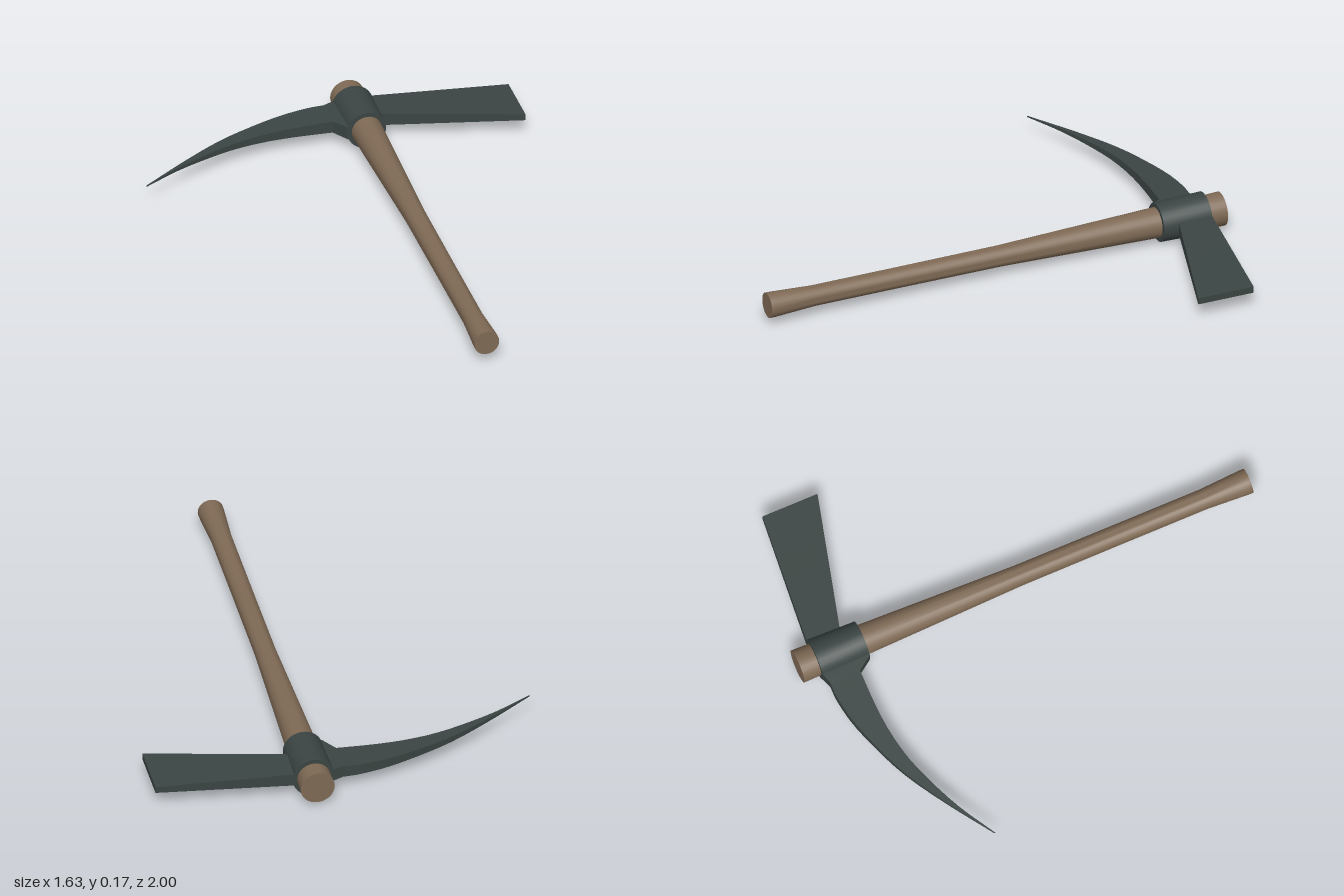
import * as THREE from 'three';
import { toCreasedNormals } from 'three/addons/utils/BufferGeometryUtils.js';

const AXIS_X = 0.166, AXIS_Y = 0.091;
const wood = new THREE.MeshStandardMaterial({ color: 0x7f6a55 });
const iron = new THREE.MeshStandardMaterial({ color: 0x3b4543 });

// Turned part along z; the profile is a list of [radius, z]
function turned(name, profile, material) {
  const points = profile.map(([r, z]) => new THREE.Vector2(r, z));
  const geometry = new THREE.LatheGeometry(points, 28).rotateX(Math.PI / 2);
  const mesh = new THREE.Mesh(toCreasedNormals(geometry, 0.6), material);
  mesh.name = name;
  mesh.position.set(AXIS_X, AXIS_Y, 0);
  return mesh;
}

// Bar of rectangular cross-sections [x, back z, front z, half thickness], x ascending
function bar(name, sections) {
  const positions = [], index = [];
  for (const [x, back, front, h] of sections) {
    positions.push(x, h, back, x, h, front, x, -h, front, x, -h, back);
  }
  for (let s = 0; s < sections.length - 1; s++) {
    for (let i = 0; i < 4; i++) {
      const a = s * 4 + i, b = s * 4 + (i + 1) % 4;
      index.push(a, b, b + 4, a, b + 4, a + 4);
    }
  }
  const e = (sections.length - 1) * 4;
  index.push(0, 2, 1, 0, 3, 2, e, e + 1, e + 2, e, e + 2, e + 3);
  const geometry = new THREE.BufferGeometry();
  geometry.setAttribute('position', new THREE.Float32BufferAttribute(positions, 3));
  geometry.setIndex(index);
  const mesh = new THREE.Mesh(toCreasedNormals(geometry, 0.4), iron);
  mesh.name = name;
  mesh.position.y = AXIS_Y;
  return mesh;
}

export function createModel() {
  const group = new THREE.Group();
  group.name = 'pickMattock';

  // Wooden handle, swelling at the grip end and towards the head
  group.add(turned('handle', [
    [0, -1], [0.071, -1], [0.064, -0.72], [0.044, -0.02], [0.043, 0.4],
    [0.043, 0.8], [0.053, 0.98], [0.053, 1], [0, 1],
  ], wood));

  // Iron eye around the handle
  group.add(turned('eyeSocket', [
    [0.062, -0.925], [0.087, -0.925], [0.082, -0.715], [0.062, -0.715], [0.062, -0.925],
  ], iron));

  // Curved pick, flaring into the eye
  const outer = new THREE.CatmullRomCurve3([
    [-0.815, -0.557], [-0.6, -0.695], [-0.43, -0.79], [-0.28, -0.85], [-0.13, -0.895], [0, -0.912], [0.04, -0.91],
  ].map(([x, z]) => new THREE.Vector3(x, 0, z)));
  const inner = new THREE.CatmullRomCurve3([
    [-0.815, -0.553], [-0.65, -0.645], [-0.49, -0.712], [-0.38, -0.748], [-0.25, -0.772], [-0.12, -0.78], [0.04, -0.778],
  ].map(([x, z]) => new THREE.Vector3(x, 0, z)));
  // Finds z on a curve at a given x
  const zAt = (curve, x) => {
    let lo = 0, hi = 1;
    for (let i = 0; i < 24; i++) {
      const mid = (lo + hi) / 2;
      if (curve.getPoint(mid).x < x) lo = mid; else hi = mid;
    }
    return curve.getPoint(lo).z;
  };
  const pick = [];
  for (let i = 0; i <= 16; i++) {
    const t = i / 16, x = -0.815 + 0.855 * t;
    pick.push([x, zAt(outer, x), zAt(inner, x), 0.002 + 0.024 * t]);
  }
  pick.push([0.085, -0.925, -0.715, 0.029], [0.115, -0.925, -0.715, 0.029]);
  group.add(bar('pick', pick));

  // Flat adze blade, widening and thinning towards its edge
  group.add(bar('adzeBlade', [
    [0.225, -0.925, -0.785, 0.028], [0.25, -0.925, -0.778, 0.027], [0.813, -0.872, -0.628, 0.014],
  ]));

  return group;
}
